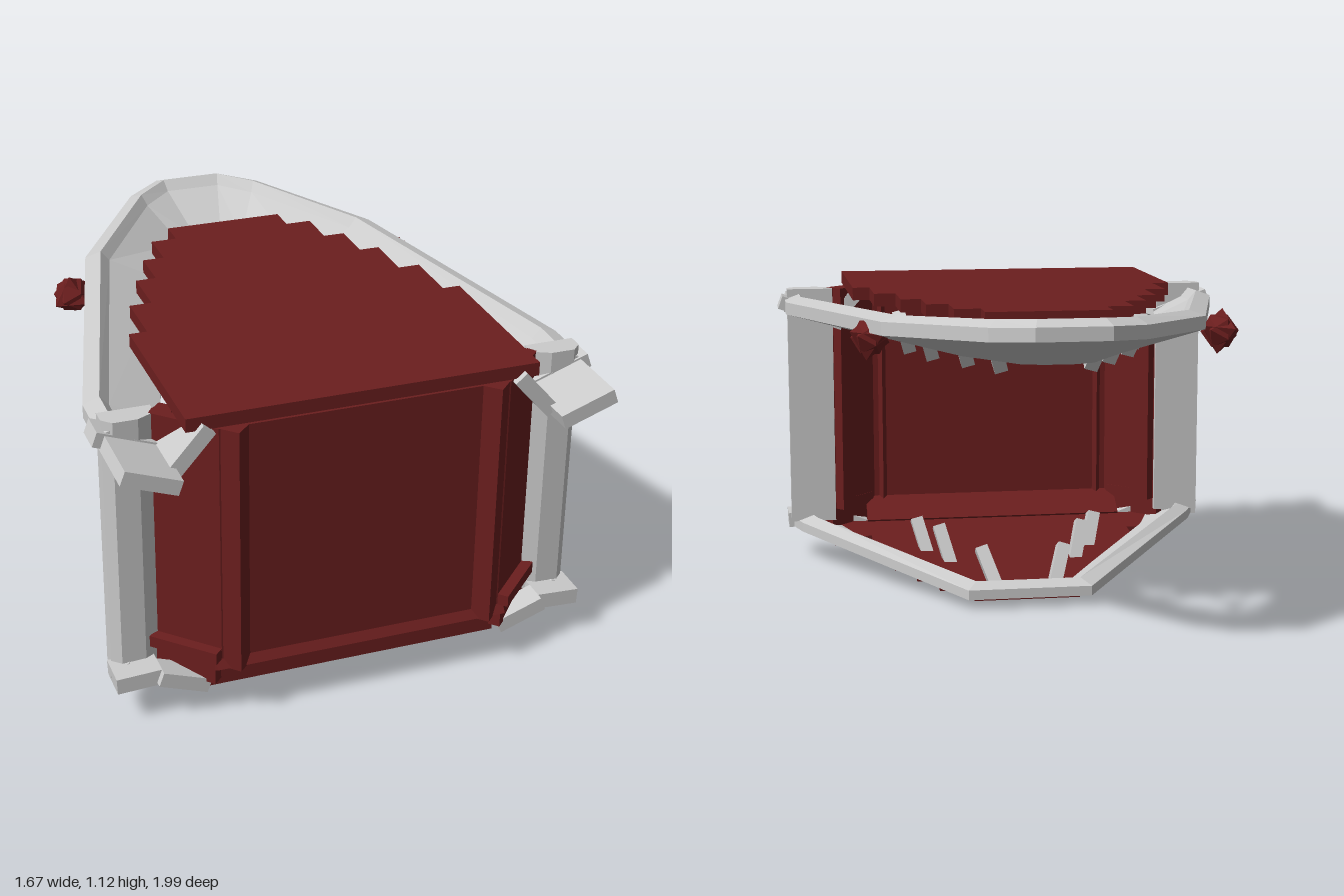
import * as THREE from 'three';

const grey = new THREE.MeshStandardMaterial({ color: 0xcccccc, flatShading: true, side: THREE.DoubleSide });
const red = new THREE.MeshStandardMaterial({ color: 0x6b1e1e, flatShading: true, side: THREE.DoubleSide });

export function createModel() {
  const model = new THREE.Group();

  function add(name, geometry, material, x = 0, y = 0, z = 0, rx = 0, ry = 0, rz = 0) {
    const mesh = new THREE.Mesh(geometry, material);
    mesh.name = name;
    mesh.position.set(x, y, z);
    mesh.rotation.set(rx, ry, rz);
    model.add(mesh);
    return mesh;
  }

  // Plan outline of [x, z] points raised to a height
  function plan(points, height) {
    const shape = new THREE.Shape(points.map(([x, z]) => new THREE.Vector2(x, -z)));
    return new THREE.ExtrudeGeometry(shape, { depth: height, bevelEnabled: false }).rotateX(-Math.PI / 2);
  }

  // Stepped plate that narrows row by row; rows are [half width, end z]
  function steppedPlate(startZ, rows, height) {
    const side = [];
    let z = startZ;
    for (const [w, end] of rows) {
      side.push([w, z], [w, end]);
      z = end;
    }
    return plan([...side, ...side.map(([x, pz]) => [-x, pz]).reverse()], height);
  }

  // Jaw rim: stations are [outer x, z, top y, inner x, z, bottom y] for the left half
  function jawRim(half, bar, inset) {
    const stations = [...half, ...half.map(([ox, oz, t, ix, iz, b]) => [-ox, oz, t, -ix, iz, b]).reverse()];
    const sections = stations.map(([ox, oz, t, ix, iz, b]) => {
      const len = Math.hypot(ix - ox, iz - oz);
      const dx = (ix - ox) / len, dz = (iz - oz) / len;
      const at = (d, y) => [ox + dx * d, y, oz + dz * d];
      return [at(0, t - bar), at(0, t - 0.02), at(inset, t), at(inset + 0.03, t - 0.035),
        [ix, b + 0.02, iz], [ix, b, iz]];
    });
    const n = 6, index = [];
    for (let i = 0; i < sections.length - 1; i++) {
      for (let j = 0; j < n; j++) {
        const a = i * n + j, b = i * n + (j + 1) % n;
        index.push(a, b, a + n, b, b + n, a + n);
      }
    }
    const last = (sections.length - 1) * n;
    for (let j = 1; j < n - 1; j++) index.push(0, j + 1, j, last, last + j, last + j + 1);
    const g = new THREE.BufferGeometry();
    g.setAttribute('position', new THREE.Float32BufferAttribute(sections.flat(2), 3));
    g.setIndex(index);
    g.computeVertexNormals();
    return g;
  }

  // Upper jaw: rounded rim and stepped roof
  add('upperJawRim', jawRim([
    [0.81, 0.76, 1.04, 0.6, 0.78, 0.91],
    [0.81, 0.56, 1.045, 0.56, 0.55, 0.915],
    [0.54, -0.45, 1.09, 0.27, -0.4, 0.945],
    [0.25, -0.89, 1.12, 0.12, -0.68, 0.955],
    [0.12, -0.99, 1.13, 0.05, -0.72, 0.957],
  ], 0.065, 0.055), grey);
  add('roofPlate', steppedPlate(0.9, [
    [0.58, 0.28], [0.52, 0.07], [0.445, -0.12], [0.375, -0.28], [0.3, -0.43], [0.21, -0.53],
  ], 0.045), red, 0, 1.06);

  // Lower jaw: tapered rim and sloping stepped floor
  add('lowerJawRim', jawRim([
    [0.81, 0.78, 0.19, 0.62, 0.78, 0.11],
    [0.76, 0.66, 0.18, 0.56, 0.62, 0.1],
    [0.22, -0.15, 0.1, 0.14, -0.03, 0.04],
  ], 0.055, 0.06), grey);
  add('floorPlate', steppedPlate(0.82, [
    [0.64, 0.6], [0.5, 0.4], [0.44, 0.28], [0.37, 0.15], [0.3, 0.04], [0.19, -0.08],
  ], 0.035), red, 0, 0.029, 0, -0.085);

  // Rear wall with slanted sides
  add('rearWall', plan([
    [-0.65, 0.74], [-0.48, 0.91], [0.48, 0.91], [0.65, 0.74],
    [0.63, 0.71], [0.465, 0.88], [-0.465, 0.88], [-0.63, 0.71],
  ], 0.86), red, 0, 0.2);
  add('rearSill', new THREE.BoxGeometry(1.0, 0.035, 0.17), red, 0, 0.17, 0.85, -0.6);
  add('rearLip', new THREE.BoxGeometry(1.0, 0.06, 0.04), red, 0, 0.115, 0.82);

  // Tooth: tilted bar between two points
  function bar(name, from, to, width, depth, material) {
    const a = new THREE.Vector3(...from), b = new THREE.Vector3(...to);
    const mesh = add(name, new THREE.BoxGeometry(width, a.distanceTo(b), depth), material);
    mesh.position.lerpVectors(a, b, 0.5);
    mesh.quaternion.setFromUnitVectors(new THREE.Vector3(0, 1, 0), b.sub(a).normalize());
  }

  const post = [[0.8, 0.69], [0.8, 0.74], [0.77, 0.77], [0.69, 0.77], [0.63, 0.74], [0.63, 0.69]];

  for (const s of [1, -1]) {
    // Corner posts and wall ribs
    add('cornerPost', plan(post.map(([x, z]) => [s * x, z]), 0.9), grey, 0, 0.16);
    for (const [x, z] of [[0.43, 0.91], [0.6, 0.73]]) {
      add('wallRib', new THREE.CylinderGeometry(0.045, 0.045, 0.86, 4), red, s * x, 0.63, z);
    }
    add('wallSkirting', new THREE.BoxGeometry(0.24, 0.04, 0.06), red, s * 0.57, 0.25, 0.83, 0, s * 0.78, 0);
    add('skirtingSlope', new THREE.BoxGeometry(0.24, 0.1, 0.04), red, s * 0.57, 0.18, 0.8, 0, s * 0.78, 0);

    // Hinge pieces behind the upper jaw
    add('hingeSlab', new THREE.BoxGeometry(0.19, 0.05, 0.3), grey, s * 0.715, 0.965, 0.85, 0, 0, s * 0.35);
    add('hingeArm', new THREE.BoxGeometry(0.25, 0.05, 0.1), grey, s * 0.71, 0.97, 0.72, 0, 0, s * 0.35);
    add('hingeBrace', new THREE.BoxGeometry(0.18, 0.05, 0.22), grey, s * 0.57, 1.0, 0.81, 0, 0, -s * 0.85);

    // Hinge pieces behind the lower jaw
    add('lowerHingeArm', new THREE.BoxGeometry(0.15, 0.055, 0.12), grey, s * 0.735, 0.16, 0.79, 0, 0, -s * 0.05);
    add('lowerHingeBrace', new THREE.BoxGeometry(0.17, 0.05, 0.09), grey, s * 0.59, 0.14, 0.83, 0, 0, s * 0.35);

    // Teeth
    for (const [x, z] of [[0.29, 0.38], [0.22, 0.25], [0.1, -0.04]]) {
      const y = z < 0 ? 0.045 : 0.025;
      bar('lowerTooth', [s * x, y, z], [s * (x + 0.05), y + (z < 0 ? 0.14 : 0.18), z + 0.085], 0.045, 0.05, grey);
    }
    for (const [x, z] of [[0.4, 0.06], [0.34, -0.13], [0.24, -0.3], [0.15, -0.45]]) {
      bar('upperTooth', [s * x, 0.91, z], [s * (x + 0.04), 1.04, z - 0.07], 0.045, 0.05, grey);
    }

    // Nose struts and faceted eyes
    bar('noseStrut', [s * 0.08, 1.04, -0.5], [-s * 0.02, 1.0, -0.67], 0.015, 0.015, grey);
    bar('noseBrace', [s * 0.13, 0.98, -0.63], [0, 1.0, -0.69], 0.04, 0.02, grey);
    const ex = s > 0 ? 0.565 : -0.625, ez = s > 0 ? -0.29 : -0.31;
    add('eye', new THREE.IcosahedronGeometry(0.065, 0), red, ex, 1.0, ez, 0.2, 0.3, 0);
    add('eyeSpikes', new THREE.OctahedronGeometry(0.08), red, ex, 1.0, ez, 0.2, 0.5, 0.2);
  }

  return model;
}
